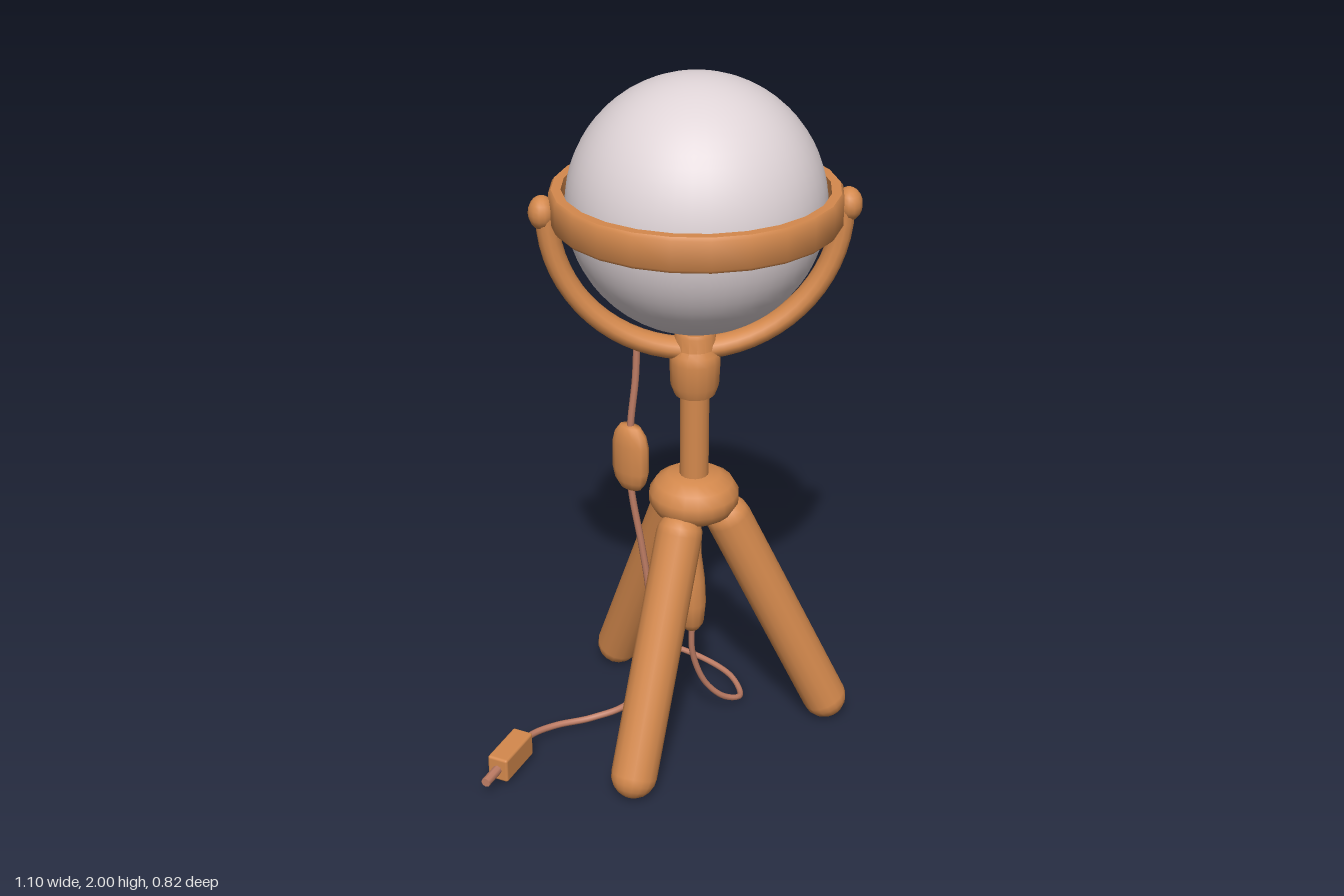
import * as THREE from 'three';
import { toCreasedNormals } from 'three/addons/utils/BufferGeometryUtils.js';
import { RoundedBoxGeometry } from 'three/addons/geometries/RoundedBoxGeometry.js';

const AXIS = { x: 0.08, z: -0.005 };

const material = (name, color) => {
  const m = new THREE.MeshStandardMaterial({ color });
  m.name = name;
  return m;
};

export function createModel() {
  const wood = material('warm wood', 0xd4894d);
  const glass = material('frosted glass', 0xdfd4d7);
  const cable = material('copper cord', 0xc07e66);

  const model = new THREE.Group();
  model.name = 'tripodGlobeLamp';
  const lamp = new THREE.Group();
  lamp.name = 'lamp';
  lamp.position.set(AXIS.x, 0, AXIS.z);
  model.add(lamp);

  const add = (parent, name, geometry, mat, x = 0, y = 0, z = 0) => {
    const mesh = new THREE.Mesh(geometry, mat);
    mesh.name = name;
    mesh.position.set(x, y, z);
    parent.add(mesh);
    return mesh;
  };
  const lathe = (points, sides, crease = 0.7) => toCreasedNormals(
    new THREE.LatheGeometry(points.map(([r, y]) => new THREE.Vector2(r, y)), sides), crease);
  const vec = (p) => new THREE.Vector3(...p);
  const tube = (points, radius, segments) => new THREE.TubeGeometry(
    new THREE.CatmullRomCurve3(points.map(vec)), segments, radius, 8);

  // Globe and the band around it
  add(lamp, 'globe', new THREE.SphereGeometry(0.348, 48, 32), glass, 0, 1.652, 0);
  add(lamp, 'globeRing', lathe([
    [0.357, 1.607], [0.383, 1.607], [0.39, 1.616], [0.39, 1.693],
    [0.383, 1.702], [0.357, 1.702], [0.357, 1.607],
  ], 24), wood);

  // Half-round yoke with a pivot knob at each end
  const yoke = add(lamp, 'yoke', new THREE.TorusGeometry(0.395, 0.031, 12, 32, Math.PI), wood, 0, 1.63, 0);
  yoke.rotation.z = Math.PI;
  yoke.scale.z = 1.25;
  for (const side of [-1, 1]) {
    const knob = add(lamp, side < 0 ? 'rightKnob' : 'leftKnob',
      new THREE.SphereGeometry(0.046, 14, 10), wood, side * 0.408, 1.64, 0);
    knob.scale.x = 0.8;
  }

  // Collar, pole and hub
  add(lamp, 'collar', lathe([
    [0, 1.1], [0.057, 1.1], [0.068, 1.13], [0.071, 1.2], [0.068, 1.225],
    [0.057, 1.24], [0.057, 1.28], [0.052, 1.29], [0, 1.29],
  ], 16), wood);
  add(lamp, 'pole', new THREE.CylinderGeometry(0.041, 0.041, 0.32, 16), wood, 0, 0.96, 0);
  add(lamp, 'hub', lathe([
    [0, 0.71], [0.075, 0.713], [0.11, 0.735], [0.128, 0.765], [0.128, 0.795],
    [0.11, 0.825], [0.075, 0.847], [0, 0.85],
  ], 20, 0.9), wood);

  // Three splayed legs with rounded ends
  const top = new THREE.Vector3(0.1, 0.7, 0);
  const foot = new THREE.Vector3(0.4, 0.067, 0);
  const along = foot.clone().sub(top);
  for (let i = 0; i < 3; i++) {
    const pivot = new THREE.Group();
    pivot.name = 'leg' + (i + 1);
    pivot.rotation.y = i * Math.PI * 2 / 3;
    lamp.add(pivot);
    const leg = add(pivot, 'legRod', new THREE.CapsuleGeometry(0.066, along.length(), 5, 16), wood);
    leg.position.copy(top).add(foot).multiplyScalar(0.5);
    leg.quaternion.setFromUnitVectors(new THREE.Vector3(0, -1, 0), along.clone().normalize());
  }

  // Turned handle hanging below the hub
  add(lamp, 'hangingHandle', lathe([
    [0, 0.325], [0.022, 0.332], [0.036, 0.355], [0.042, 0.42],
    [0.038, 0.5], [0.028, 0.58], [0.026, 0.74],
  ], 12, 1.2), wood, -0.004, 0, 0);

  // Cord looping from the handle to the rear foot
  add(model, 'handleCord', tube([
    [0.076, 0.34, 0], [0.08, 0.24, -0.01], [0.12, 0.12, -0.03], [0.18, 0.05, -0.05],
    [0.235, 0.02, -0.09], [0.22, 0.02, -0.2], [0.13, 0.026, -0.31],
    [0.02, 0.035, -0.375], [-0.09, 0.045, -0.37],
  ], 0.009, 60), cable);

  // Power cord from the yoke down to the plug
  add(model, 'powerCord', tube([
    [-0.08, 1.265, 0], [-0.085, 1.15, 0], [-0.1, 1, 0], [-0.1, 0.82, 0],
    [-0.07, 0.62, 0], [-0.05, 0.45, 0], [-0.06, 0.25, 0], [-0.11, 0.08, 0],
    [-0.22, 0.03, 0], [-0.33, 0.03, 0.03], [-0.4, 0.04, 0.08], [-0.44, 0.052, 0.145],
  ], 0.01, 80), cable);

  // Flat oval inline switch
  const inlineSwitch = add(model, 'inlineSwitch', lathe([
    [0, -0.1], [0.035, -0.096], [0.053, -0.072], [0.061, -0.04],
    [0.061, 0.04], [0.053, 0.072], [0.035, 0.096], [0, 0.1],
  ], 12, 1), wood, -0.1, 0.91, 0);
  inlineSwitch.scale.z = 0.55;
  inlineSwitch.rotation.y = -Math.PI / 4;

  // Plug with its prong
  const plug = new THREE.Group();
  plug.name = 'plug';
  plug.position.set(-0.469, 0.053, 0.198);
  plug.rotation.y = -Math.PI / 6;
  model.add(plug);
  add(plug, 'plugBody', new RoundedBoxGeometry(0.064, 0.076, 0.155, 2, 0.008), wood);
  const prong = add(plug, 'prong', new THREE.CylinderGeometry(0.014, 0.014, 0.08, 8), cable, 0, 0, 0.105);
  prong.rotation.x = Math.PI / 2;

  return model;
}
